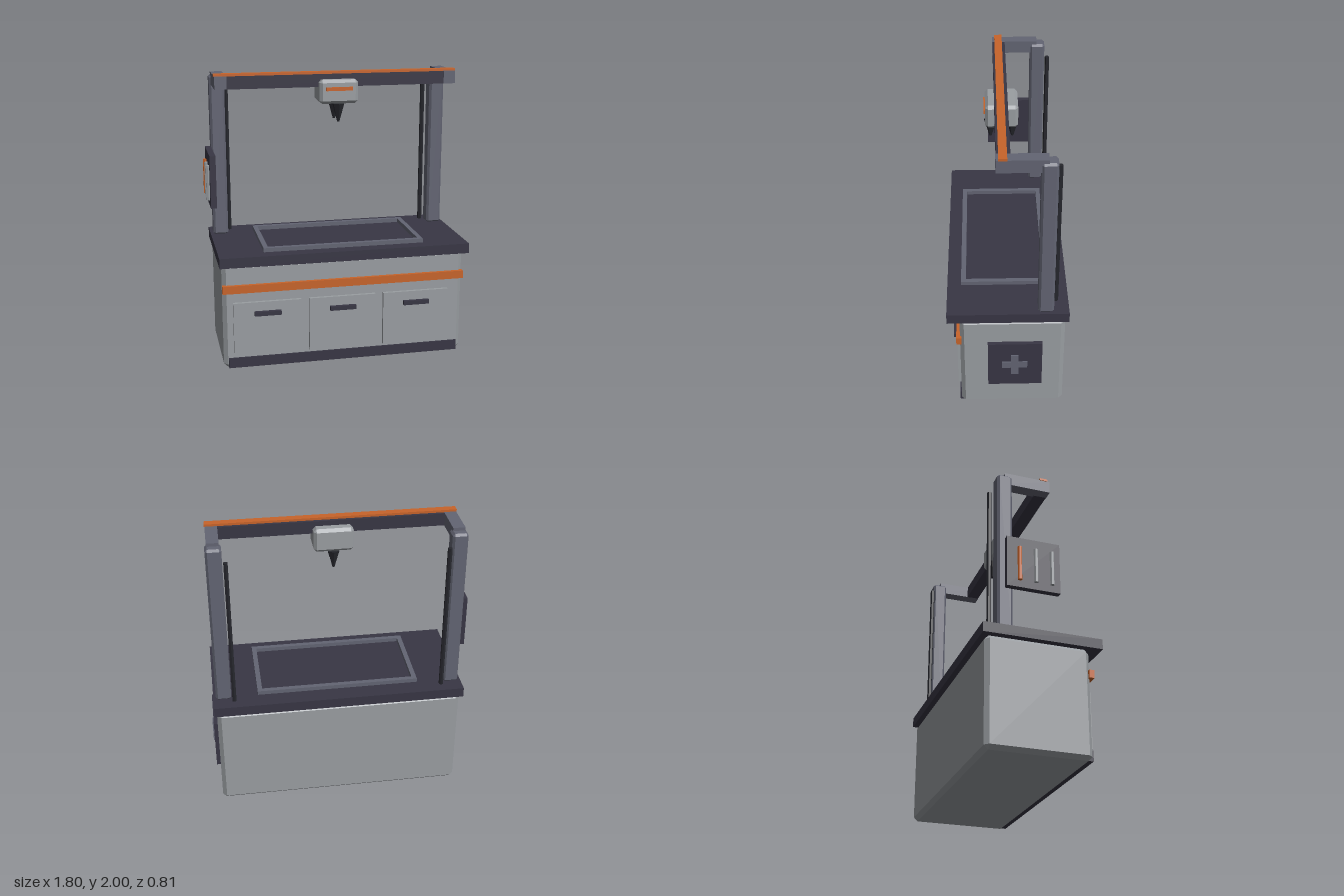
import * as THREE from 'three';
import { ConvexGeometry } from 'three/addons/geometries/ConvexGeometry.js';

const mat = (name, color) => {
  const m = new THREE.MeshStandardMaterial({ color });
  m.name = name;
  return m;
};

// Box with every edge cut by a flat chamfer c
function chamferBox(w, h, d, c) {
  const pts = [];
  for (const x of [-1, 1]) for (const y of [-1, 1]) for (const z of [-1, 1]) {
    const X = w / 2, Y = h / 2, Z = d / 2;
    pts.push(
      new THREE.Vector3(x * X, y * (Y - c), z * (Z - c)),
      new THREE.Vector3(x * (X - c), y * Y, z * (Z - c)),
      new THREE.Vector3(x * (X - c), y * (Y - c), z * Z));
  }
  return new ConvexGeometry(pts);
}

export function createModel() {
  const model = new THREE.Group();
  model.name = 'workbench';
  const grey = mat('light grey', 0x9a9ea2);
  const slate = mat('dark slate', 0x383644);
  const steel = mat('steel grey', 0x636573);
  const orange = mat('orange', 0xc8642a);
  const black = mat('black', 0x26272d);
  const CX = 0.012; // centre line of the bench

  const add = (name, geometry, material, x, y, z) => {
    const mesh = new THREE.Mesh(geometry, material);
    mesh.name = name;
    mesh.position.set(x, y, z);
    model.add(mesh);
    return mesh;
  };
  // Box given by its limits on each axis, chamfered when c > 0
  const box = (name, material, [x0, x1], [y0, y1], [z0, z1], c = 0) => {
    const s = [x1 - x0, y1 - y0, z1 - z0];
    const g = c ? chamferBox(...s, c) : new THREE.BoxGeometry(...s);
    return add(name, g, material, (x0 + x1) / 2, (y0 + y1) / 2, (z0 + z1) / 2);
  };
  const hexRod = (name, material, rTop, rBottom, h, x, y, z) => {
    const g = new THREE.CylinderGeometry(rTop, rBottom, h, 6).toNonIndexed();
    g.computeVertexNormals();
    return add(name, g, material, x, y, z);
  };

  // Cabinet and worktop
  box('cabinet', grey, [-0.84, 0.865], [0, 0.75], [-0.38, 0.32], 0.028);
  box('kickPlate', slate, [-0.807, 0.833], [0.003, 0.075], [0.28, 0.33]);
  box('worktop', slate, [-0.86, 0.882], [0.75, 0.82], [-0.403, 0.403]);
  box('frontStripe', orange, [-0.84, 0.865], [0.548, 0.603], [0.31, 0.345]);

  // Drawers with handles
  for (const i of [-1, 0, 1]) {
    const x = -0.007 + i * 0.527;
    box('drawer', grey, [x - 0.236, x + 0.236], [0.095, 0.477], [0.31, 0.343]);
    box('drawerHandle', slate, [x - 0.092, x + 0.092], [0.384, 0.413], [0.34, 0.37]);
  }

  // Raised frame around the work area
  const outer = new THREE.Shape([[-0.55, -0.31], [0.574, -0.31], [0.574, 0.277], [-0.55, 0.277]]
    .map(p => new THREE.Vector2(...p)));
  outer.holes.push(new THREE.Path([[-0.517, -0.277], [-0.517, 0.244], [0.541, 0.244], [0.541, -0.277]]
    .map(p => new THREE.Vector2(...p))));
  const rim = new THREE.ExtrudeGeometry(outer, { depth: 0.03, bevelEnabled: false });
  rim.rotateX(-Math.PI / 2);
  add('workAreaFrame', rim, steel, 0, 0.818, 0);

  // Side panel with a plus emblem
  box('sidePanel', slate, [0.855, 0.893], [0.203, 0.567], [-0.23, 0.135]);
  box('plusUpright', steel, [0.89, 0.902], [0.303, 0.47], [-0.07, -0.02]);
  for (const s of [-1, 1]) {
    const z = -0.045 + s * 0.055;
    box('plusArm', steel, [0.89, 0.902], [0.362, 0.412], [z - 0.03, z + 0.03]);
  }

  // Columns, forward arms and guide rods, mirrored about the centre line
  for (const s of [-1, 1]) {
    const x = CX + s * 0.799;
    box('column', steel, [x - 0.053, x + 0.053], [0.815, 1.963], [-0.302, -0.198], 0.015);
    box('topArm', steel, [x - 0.041, x + 0.041], [1.898, 1.985], [-0.245, 0.076]);
    hexRod('guideRod', black, 0.016, 0.016, 1.06, CX + s * 0.726, 1.35, -0.32);
  }

  // Cross beam with its stripe
  box('crossBeam', slate, [-0.76, 0.784], [1.898, 1.984], [-0.015, 0.073]);
  box('beamStripe', orange, [-0.832, 0.856], [1.984, 2], [0.006, 0.059]);

  // Tool head with two nozzles
  box('toolHead', grey, [-0.122, 0.146], [1.787, 1.95], [-0.084, 0.133], 0.02);
  box('toolHeadStripe', orange, [-0.08, 0.104], [1.877, 1.902], [0.125, 0.143]);
  for (const z of [-0.049, 0.097])
    hexRod('nozzle', black, 0.043, 0.008, 0.125, CX, 1.723, z);

  // Tool board on the right column with three hanging tools
  box('toolBoard', slate, [-0.879, -0.838], [1.092, 1.457], [-0.253, 0.113]);
  [orange, grey, grey].forEach((m, i) =>
    hexRod('hangingTool', m, 0.015, 0.015, 0.243, -0.889, 1.262, -0.168 + i * 0.111));

  return model;
}
